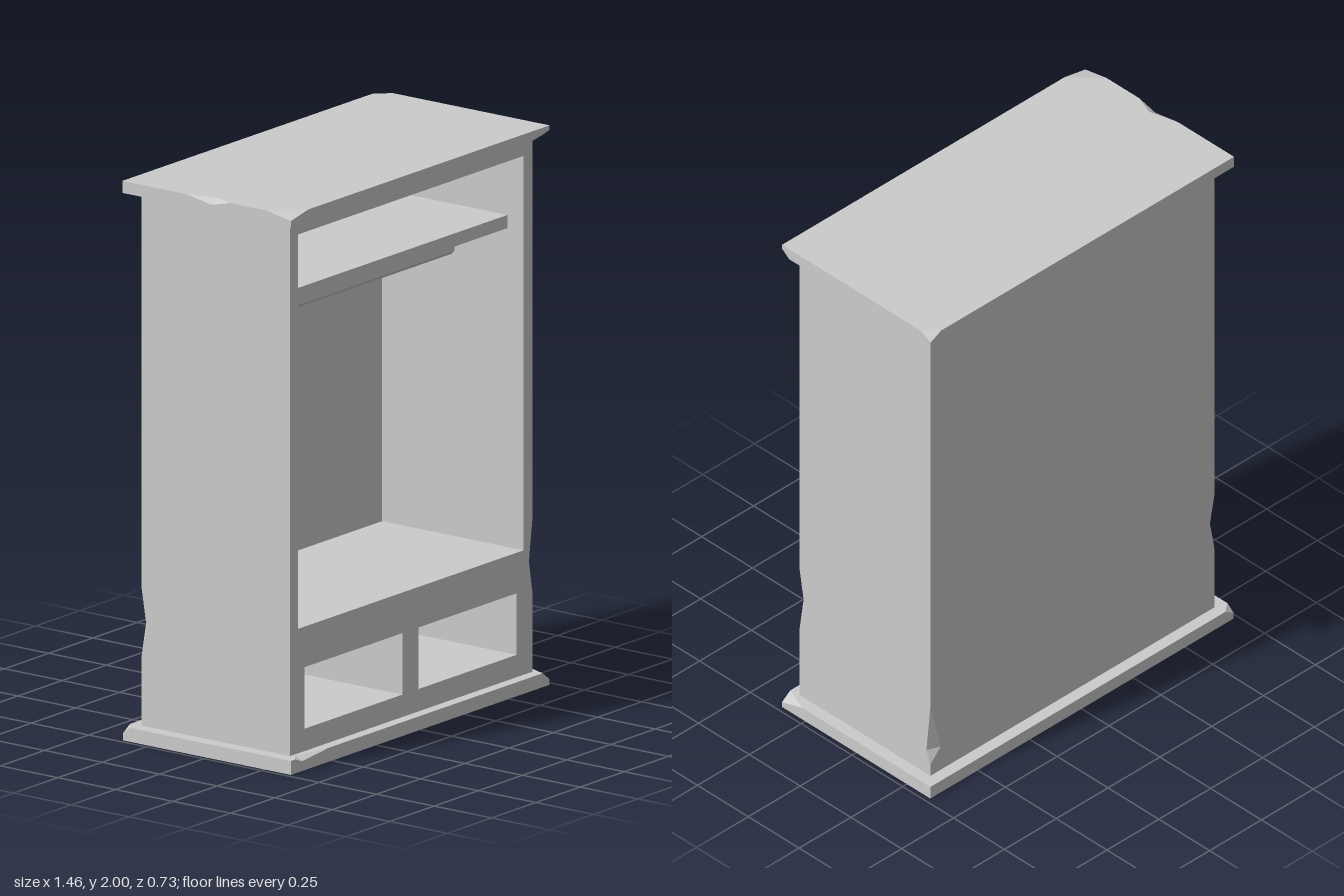
import * as THREE from 'three';

const material = new THREE.MeshStandardMaterial({ color: 0xcccccc, flatShading: true });

// Box with chipped corners, dented edges and holes in its front face.
// cuts:  { sign: [sx, sy, sz], size: [dx, dy, dz] } slices a corner off.
// dents: { sign, span, at, depth } nicks an edge; the 0 in sign marks the edge's axis.
function chippedBox(min, max, { cuts = [], dents = [], holes = [] } = {}) {
  const positions = [];
  const corner = (sign) => sign.map((s, i) => (s > 0 ? max[i] : min[i]));
  const moved = (p, axis, value) => p.map((c, i) => (i === axis ? value : c));
  const inward = (p, axis, sign, d) => moved(p, axis, p[axis] - sign[axis] * d[axis]);

  for (let a = 0; a < 3; a++) for (const side of [-1, 1]) {
    const u = (a + 1) % 3, v = (a + 2) % 3;
    const loop = [];
    [[-1, -1], [1, -1], [1, 1], [-1, 1]].forEach(([su, sv], k) => {
      const sign = [0, 0, 0];
      sign[a] = side; sign[u] = su; sign[v] = sv;
      const p = corner(sign);
      const along = k % 2 ? v : u, across = k % 2 ? u : v;
      const cut = cuts.find((c) => c.sign.every((s, i) => s === sign[i]));
      if (cut) loop.push(inward(p, across, sign, cut.size), inward(p, along, sign, cut.size));
      else loop.push(p);
      // nicks on the edge that leaves this corner
      const dir = -sign[along];
      dents
        .filter((d) => d.sign.every((s, i) => (i === along ? s === 0 : s === sign[i])))
        .forEach((d) => {
          const [from, to] = [...d.span].sort((m, n) => dir * (m - n));
          loop.push(moved(p, along, from),
            inward(moved(p, along, d.at), across, sign, d.depth),
            moved(p, along, to));
        });
    });
    const flat = (p) => new THREE.Vector2(p[u], p[v]);
    const holeLoops = a === 2 && side === 1
      ? holes.map(([x0, y0, x1, y1]) => [[x0, y0], [x0, y1], [x1, y1], [x1, y0]].map(([x, y]) => [x, y, max[2]]))
      : [];
    const all = [loop, ...holeLoops].flat();
    for (const tri of THREE.ShapeUtils.triangulateShape(loop.map(flat), holeLoops.map((h) => h.map(flat)))) {
      const [A, B, C] = tri.map((i) => all[i]);
      const area = (B[u] - A[u]) * (C[v] - A[v]) - (B[v] - A[v]) * (C[u] - A[u]);
      positions.push(...A, ...(area * side > 0 ? [...B, ...C] : [...C, ...B]));
    }
  }

  // broken surfaces, turned to face outward along the chip's direction
  const addOutward = (sign, A, B, C) => {
    const [a, b, c] = [A, B, C].map((p) => new THREE.Vector3(...p));
    const normal = b.clone().sub(a).cross(c.clone().sub(a));
    positions.push(...A, ...(normal.dot(new THREE.Vector3(...sign)) > 0 ? [...B, ...C] : [...C, ...B]));
  };
  for (const { sign, size } of cuts) {
    addOutward(sign, ...[0, 1, 2].map((i) => inward(corner(sign), i, sign, size)));
  }
  for (const { sign, span, at, depth } of dents) {
    const axis = sign.indexOf(0);
    const p = corner(sign), mid = moved(p, axis, at);
    const [P, Q] = [0, 1, 2].filter((i) => i !== axis).map((i) => inward(mid, i, sign, depth));
    span.forEach((end) => addOutward(sign, moved(p, axis, end), P, Q));
  }

  const geometry = new THREE.BufferGeometry();
  geometry.setAttribute('position', new THREE.Float32BufferAttribute(positions, 3));
  geometry.computeVertexNormals();
  return geometry;
}

// Inward-facing box, open at the front
function cavity([x0, y0, x1, y1], back, front) {
  const box = new THREE.BoxGeometry(x1 - x0, y1 - y0, front - back);
  box.translate((x0 + x1) / 2, (y0 + y1) / 2, (front + back) / 2);
  const index = Array.from(box.index.array);
  index.splice(24, 6);
  box.setIndex(index.reverse());
  box.clearGroups();
  const geometry = box.toNonIndexed();
  geometry.computeVertexNormals();
  return geometry;
}

export function createModel() {
  const group = new THREE.Group();
  const add = (name, geometry) => {
    const mesh = new THREE.Mesh(geometry, material);
    mesh.name = name;
    group.add(mesh);
    return mesh;
  };

  // carcass with the hanging space and two drawer openings
  const front = 0.325, back = -0.29;
  const openings = {
    hangingSpace: [-0.64, 0.495, 0.635, 1.905],
    rightDrawerSpace: [-0.605, 0.13, -0.05, 0.35],
    leftDrawerSpace: [0.04, 0.13, 0.595, 0.35],
  };
  add('carcass', chippedBox([-0.685, 0.05, -0.32], [0.685, 1.957, front], {
    holes: Object.values(openings),
    dents: [
      { sign: [1, 0, 1], span: [0.33, 0.6], at: 0.45, depth: [0.02, 0, 0.03] },
      { sign: [1, 0, -1], span: [0.1, 0.35], at: 0.15, depth: [0.05, 0, 0.02] },
      { sign: [-1, 0, -1], span: [0.3, 0.54], at: 0.41, depth: [0.025, 0, 0.025] },
    ],
  }));
  for (const [name, rect] of Object.entries(openings)) add(name, cavity(rect, back, front));

  // worn top and base slabs
  add('topSlab', chippedBox([-0.733, 1.957, -0.367], [0.73, 2, 0.365], {
    cuts: [
      { sign: [-1, 1, 1], size: [0.1, 0.02, 0.105] },
      { sign: [1, 1, -1], size: [0.05, 0.025, 0.05] },
      { sign: [1, -1, 1], size: [0.165, 0.027, 0.035] },
    ],
    dents: [{ sign: [-1, 1, 0], span: [-0.09, 0.1], at: 0.02, depth: [0.03, 0.02, 0] }],
  }));
  add('baseSlab', chippedBox([-0.733, 0, -0.365], [0.73, 0.05, 0.365], {
    cuts: [
      { sign: [1, 1, 1], size: [0.04, 0.03, 0.1] },
      { sign: [-1, 1, -1], size: [0.04, 0.025, 0.03] },
    ],
    dents: [{ sign: [0, 1, 1], span: [-0.71, -0.52], at: -0.67, depth: [0, 0.015, 0.03] }],
  }));

  // hat shelf with a broken front corner
  add('shelf', chippedBox([-0.64, 1.635, back], [0.635, 1.682, 0.255], {
    cuts: [{ sign: [-1, 1, 1], size: [0.08, 0.025, 0.13] }],
  }));

  // octagonal hanging rail
  const rail = add('hangingRail', new THREE.CylinderGeometry(0.026, 0.026, 1.275, 8, 1, false, Math.PI / 8));
  rail.rotation.z = Math.PI / 2;
  rail.position.set(-0.0025, 1.525, 0);

  return group;
}
